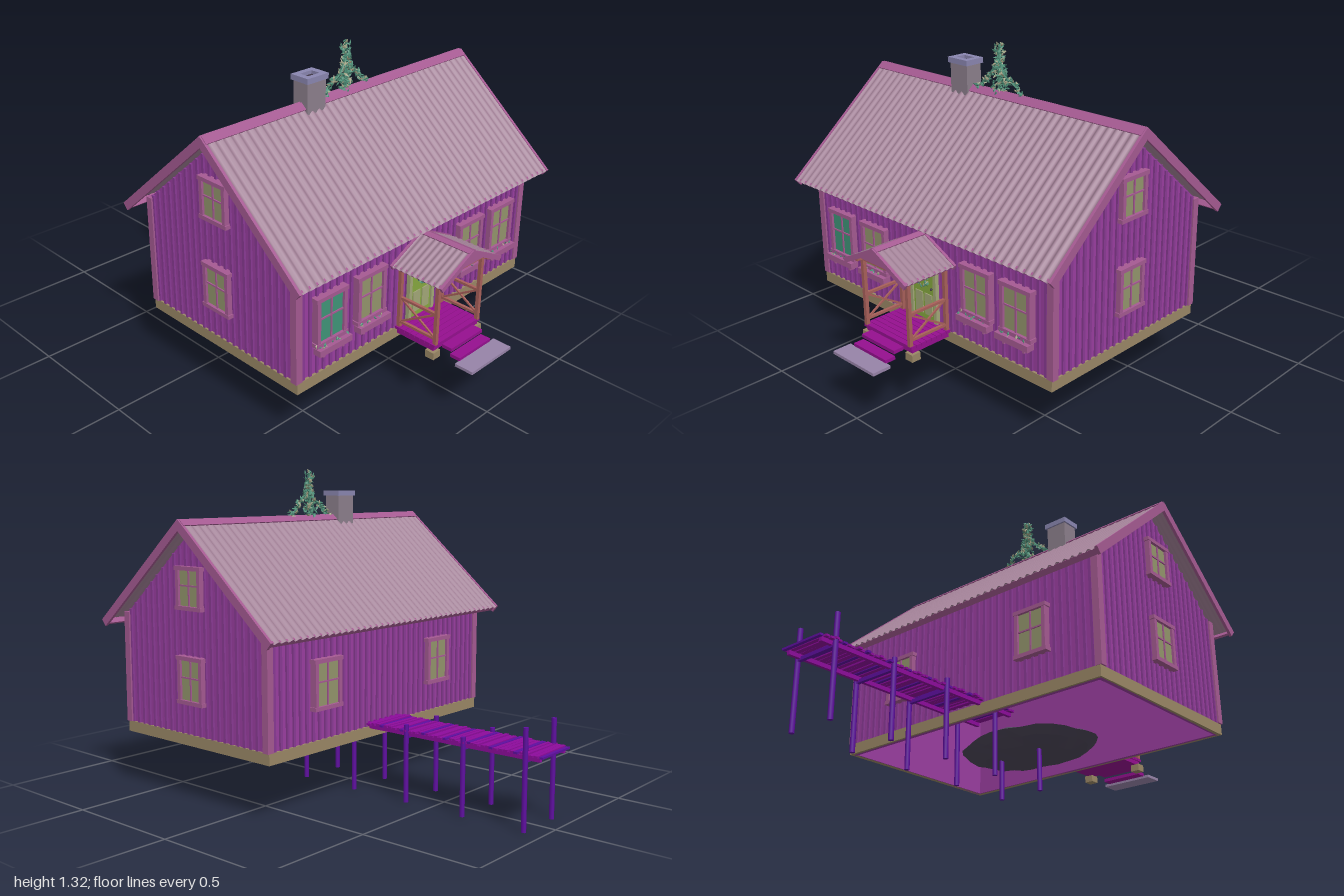
import * as THREE from 'three';

const mat = (color, extra = {}) => new THREE.MeshStandardMaterial({ color, ...extra });
const M = {
  wall: mat(0x9a3ea0), batten: mat(0x8a3a94), trim: mat(0xa55a92), roof: mat(0xa07f95, { side: THREE.DoubleSide }),
  base: mat(0x9a8766), dock: mat(0x8d0b9c), post: mat(0x5f0ea0), porchWood: mat(0xa8605a), deck: mat(0x95108f),
  glass: mat(0x93956c), greenGlass: mat(0x3f9478), door: mat(0x86a83f), panel: mat(0xa3a878), stone: mat(0x9783a8),
  chimney: mat(0x8c7f8c), cap: mat(0x8a86b0), dark: mat(0x403848), rock: mat(0x4c4658, { flatShading: true }),
  leaf: mat(0x4f8f78, { flatShading: true }), paleLeaf: mat(0xa0a184, { flatShading: true }),
};
const ZC = 0.225, RIDGE = 1.115, PITCH = 0.857;

let seed = 7;
const rnd = () => (seed = (seed * 16807) % 2147483647) / 2147483647;

function group(parent, name, x = 0, y = 0, z = 0, ry = 0) {
  const g = new THREE.Group();
  g.name = name;
  g.position.set(x, y, z);
  g.rotation.y = ry;
  parent.add(g);
  return g;
}
function add(parent, name, geo, material, x = 0, y = 0, z = 0) {
  const m = new THREE.Mesh(geo, material);
  m.name = name;
  m.position.set(x, y, z);
  parent.add(m);
  return m;
}
const box = (p, name, material, w, h, d, x, y, z) => add(p, name, new THREE.BoxGeometry(w, h, d), material, x, y, z);

// Straight bar between two points
function bar(p, name, material, a, b, t) {
  const A = new THREE.Vector3(...a), B = new THREE.Vector3(...b);
  const m = box(p, name, material, t, t, A.distanceTo(B), 0, 0, 0);
  m.position.copy(A).lerp(B, 0.5);
  m.lookAt(B);
}

// Corrugated roof: two mirrored slopes hanging from a ridge along local x
function gableRoof(parent, name, { width, length, angle, waves, amp, edge }) {
  for (const turn of [0, Math.PI]) {
    const side = group(parent, name, 0, 0, 0, turn);
    const s = group(side, 'roofSlope');
    s.rotation.x = angle;
    const geo = new THREE.PlaneGeometry(width, length, waves * 6, 1).rotateX(-Math.PI / 2).translate(0, 0, length / 2);
    const pos = geo.attributes.position;
    for (let i = 0; i < pos.count; i++) pos.setY(i, amp * Math.cos((pos.getX(i) / width + 0.5) * waves * 2 * Math.PI));
    geo.computeVertexNormals();
    add(s, 'corrugatedSheet', geo, M.roof);
    box(s, 'ridgeCap', M.trim, width, 0.005, edge, 0, amp, edge / 2);
    box(s, 'fascia', M.trim, width, edge * 0.7, 0.01, 0, -edge * 0.45, length - 0.012);
    for (const x of [-1, 1]) box(s, 'bargeboard', M.trim, 0.012, edge, length, x * (width / 2), -edge / 2 + amp, length / 2);
  }
}

// Framed window facing local +z
function windowUnit(parent, w, h, x, y, z, ry, glass = M.glass) {
  const g = group(parent, 'window', x, y, z, ry), t = 0.016;
  box(g, 'glass', glass, w - t, h - t, 0.03, 0, 0, -0.008);
  for (const s of [-1, 1]) {
    box(g, 'frameSide', M.trim, t, h, 0.03, s * (w - t) / 2, 0, 0.002);
    box(g, 'frameRail', M.trim, w + 0.01, t, 0.034, 0, s * (h - t) / 2, 0.002);
  }
  box(g, 'mullion', M.trim, 0.006, h - t, 0.008, 0, 0, 0.008);
  box(g, 'crossbar', M.trim, w - t, 0.006, 0.008, 0, 0.01, 0.008);
  return g;
}

// Small leaves scattered along a curve
function foliage(parent, name, curve, count, spread, size) {
  const g = group(parent, name);
  const geo = new THREE.OctahedronGeometry(size).scale(1, 0.3, 0.55);
  for (let i = 0; i < count; i++) {
    const p = curve.getPoint((i + 0.5) / count), r = typeof spread === 'function' ? spread(i / count) : spread;
    const m = add(g, 'leaf', geo, i % 3 ? M.leaf : M.paleLeaf,
      p.x + (rnd() - 0.5) * 2 * r, p.y + (rnd() - 0.5) * 2 * r, p.z + (rnd() - 0.5) * 2 * r);
    m.rotation.set(rnd() * 6, rnd() * 6, rnd() * 6);
  }
}
const curve = (...pts) => new THREE.CatmullRomCurve3(pts.map((p) => new THREE.Vector3(...p)));

function buildWalls(root) {
  const g = group(root, 'house');
  const eave = RIDGE - 0.035 - PITCH * 0.405, top = RIDGE - 0.035;
  for (const s of [-1, 1]) {
    const z = ZC + s * 0.405;
    // Long walls with battens, open underneath
    box(g, 'longWall', M.wall, 1.31, eave - 0.23, 0.016, 0, (eave + 0.23) / 2, z - s * 0.008);
    for (let i = -18; i <= 18; i++) box(g, 'batten', M.batten, 0.012, eave - 0.275, 0.008, i * 0.035, (eave + 0.275) / 2, z + s * 0.004);
    box(g, 'foundation', M.base, 1.324, 0.045, 0.02, 0, 0.2525, z);
    // Gable walls with battens cut to the roof line
    const shape = new THREE.Shape([[-0.405, 0.23], [0.405, 0.23], [0.405, eave], [0, top], [-0.405, eave]].map((p) => new THREE.Vector2(...p)));
    const end = group(g, 'gableEnd', s * 0.655, 0, ZC, s * Math.PI / 2);
    add(end, 'gableWall', new THREE.ExtrudeGeometry(shape, { depth: 0.016, bevelEnabled: false }), M.wall, 0, 0, -0.016);
    for (let i = -11; i <= 11; i++) {
      const h = top - PITCH * (Math.abs(i) * 0.035 + 0.006) - 0.275;
      box(end, 'batten', M.batten, 0.012, h, 0.008, i * 0.035, 0.275 + h / 2, 0.004);
    }
    box(end, 'foundation', M.base, 0.83, 0.045, 0.02, 0, 0.2525, -0.002);
    windowUnit(end, 0.14, 0.19, 0, 0.495, 0.012, 0);
    windowUnit(end, 0.14, 0.17, 0, 0.855, 0.012, 0);
    for (const c of [-1, 1]) box(g, 'cornerBoard', M.trim, 0.03, eave - 0.275, 0.03, s * 0.655, (eave + 0.275) / 2, ZC + c * 0.402);
    windowUnit(g, 0.15, 0.2, s * 0.355, 0.495, ZC - 0.417, Math.PI);
  }
  // Front windows with flower boxes
  for (const x of [-0.505, -0.295, 0.295, 0.5]) {
    const w = windowUnit(g, 0.15, 0.2, x, 0.495, 0.642, 0, x < -0.5 ? M.greenGlass : M.glass);
    box(w, 'flowerBox', M.trim, 0.165, 0.025, 0.035, 0, -0.112, 0.02);
    for (const c of [-0.05, 0.05]) box(w, 'boxBracket', M.trim, 0.01, 0.02, 0.025, c, -0.132, 0.012);
    foliage(w, 'flowers', curve([-0.07, -0.097, 0.02], [0.07, -0.097, 0.02]), 18, 0.011, 0.009);
  }
  const roof = group(root, 'mainRoof', 0, RIDGE, ZC);
  gableRoof(roof, 'mainRoofSide', { width: 1.44, length: 0.645, angle: Math.atan(PITCH), waves: 40, amp: 0.005, edge: 0.034 });
}

function buildPorch(root) {
  const g = group(root, 'porch');
  // Door with panels and wreath
  box(g, 'door', M.door, 0.125, 0.275, 0.02, 0, 0.422, 0.638);
  for (const s of [-1, 1]) {
    box(g, 'doorJamb', M.panel, 0.016, 0.285, 0.03, s * 0.068, 0.427, 0.64);
    box(g, 'doorPanel', M.panel, 0.042, 0.09, 0.006, s * 0.027, 0.355, 0.649);
  }
  box(g, 'doorLintel', M.panel, 0.152, 0.014, 0.03, 0, 0.565, 0.64);
  box(g, 'doorGlass', M.greenGlass, 0.1, 0.04, 0.006, 0, 0.53, 0.649);
  add(g, 'doorHandle', new THREE.SphereGeometry(0.005, 10, 8), M.dark, 0.05, 0.43, 0.655);
  const ring = curve(...Array.from({ length: 9 }, (_, i) => [0.028 * Math.cos(i * Math.PI / 4), 0.46 + 0.028 * Math.sin(i * Math.PI / 4), 0.658]));
  foliage(g, 'wreath', ring, 36, 0.005, 0.01);
  // Floor boards, steps and slab
  for (let i = 0; i < 8; i++) box(g, 'floorBoard', M.deck, 0.28, 0.012, 0.022, 0, 0.281, 0.653 + i * 0.0245);
  box(g, 'floorFrame', M.deck, 0.27, 0.018, 0.18, 0, 0.266, 0.738);
  box(g, 'upperStep', M.deck, 0.19, 0.014, 0.045, 0, 0.268, 0.86);
  box(g, 'lowerStep', M.deck, 0.19, 0.014, 0.045, 0, 0.245, 0.9);
  box(g, 'stoneSlab', M.stone, 0.24, 0.012, 0.08, 0, 0.234, 0.96);
  for (const s of [-1, 1]) {
    const x = s * 0.128;
    box(g, 'footing', M.base, 0.04, 0.03, 0.04, x, 0.243, 0.82);
    box(g, 'frontPost', M.porchWood, 0.015, 0.29, 0.015, x, 0.43, 0.83);
    box(g, 'wallPost', M.porchWood, 0.015, 0.29, 0.015, x, 0.43, 0.652);
    box(g, 'eaveBeam', M.porchWood, 0.015, 0.018, 0.225, x, 0.572, 0.75);
    for (const y of [0.31, 0.415]) box(g, 'rail', M.porchWood, 0.012, 0.01, 0.17, x, y, 0.74);
    bar(g, 'crossBrace', M.porchWood, [x, 0.312, 0.66], [x, 0.412, 0.825], 0.007);
    bar(g, 'crossBrace', M.porchWood, [x, 0.412, 0.66], [x, 0.312, 0.825], 0.007);
  }
  box(g, 'frontBeam', M.porchWood, 0.27, 0.016, 0.015, 0, 0.567, 0.83);
  const tri = new THREE.Shape([[-0.135, 0.57], [0.135, 0.57], [0, 0.64]].map((p) => new THREE.Vector2(...p)));
  add(g, 'porchGable', new THREE.ExtrudeGeometry(tri, { depth: 0.01, bevelEnabled: false }), M.trim, 0, 0, 0.836);
  const roof = group(g, 'porchRoof', 0, 0.653, 0.76, Math.PI / 2);
  gableRoof(roof, 'porchRoofSide', { width: 0.235, length: 0.2, angle: 0.464, waves: 9, amp: 0.003, edge: 0.02 });
}

function buildRoofTop(root) {
  // Hollow chimney
  const g = group(root, 'chimney', -0.193, 0, ZC);
  box(g, 'stack', M.chimney, 0.095, 0.17, 0.075, 0, 1.12, 0);
  for (const s of [-1, 1]) {
    box(g, 'capRim', M.cap, 0.11, 0.022, 0.024, 0, 1.211, s * 0.033);
    box(g, 'capRim', M.cap, 0.026, 0.022, 0.045, s * 0.042, 1.211, 0);
  }
  box(g, 'flue', M.dark, 0.06, 0.004, 0.045, 0, 1.206, 0);
  // Leafy finial with trailing branches on the ridge
  const f = group(root, 'ridgeFoliage', 0, 0, ZC);
  foliage(f, 'centralPlant', curve([0, 1.125, 0], [0, 1.3, 0]), 130, (t) => 0.026 - 0.013 * t, 0.014);
  add(f, 'stem', new THREE.CylinderGeometry(0.005, 0.008, 0.18, 6), M.leaf, 0, 1.2, 0);
  for (const s of [-1, 1]) {
    const c = curve([0, 1.24, 0], [s * 0.04, 1.185, 0.01], [s * 0.085, 1.145, -0.005], [s * 0.125, 1.115, 0.005]);
    add(f, 'branch', new THREE.TubeGeometry(c, 16, 0.004, 5), M.leaf);
    foliage(f, 'branchLeaves', c, 50, 0.011, 0.013);
  }
}

function buildRock(root) {
  // Shallow boulder under the floor, roughened by a ripple
  const prof = [[0, 0.155], [0.1, 0.16], [0.2, 0.18], [0.27, 0.205], [0.315, 0.23], [0.28, 0.242], [0.15, 0.25], [0, 0.252]];
  const geo = new THREE.LatheGeometry(prof.map((p) => new THREE.Vector2(...p)), 28);
  const pos = geo.attributes.position;
  for (let i = 0; i < pos.count; i++) {
    const x = pos.getX(i), z = pos.getZ(i), a = Math.atan2(z, x), k = 1 + 0.04 * Math.sin(a * 3 + 1) + 0.025 * Math.sin(a * 7);
    pos.setXYZ(i, x * k, pos.getY(i) + 0.005 * Math.sin(x * 40) * Math.cos(z * 37), z * k * 0.73);
  }
  geo.computeVertexNormals();
  add(root, 'boulder', geo, M.rock, 0.02, 0, 0.23);
}

function buildDock(root) {
  const g = group(root, 'dock');
  const heights = [0.27, 0.28, 0.315, 0.31, 0.39];
  for (const s of [-1, 1]) {
    heights.forEach((h, i) => add(g, 'dockPost', new THREE.CylinderGeometry(0.01, 0.01, h, 8), M.post, s * 0.1, h / 2, 0.155 - i * 0.27));
    box(g, 'stringer', M.dock, 0.014, 0.016, 0.97, s * 0.085, 0.276, -0.495);
  }
  heights.forEach((h, i) => i && box(g, 'crossBeam', M.post, 0.21, 0.014, 0.014, 0, 0.268, 0.155 - i * 0.27));
  // Uneven planks
  for (let i = 0; i < 48; i++) {
    const p = box(g, 'plank', i % 5 === 2 ? M.post : M.dock, 0.195 + rnd() * 0.022, 0.008, 0.013 + rnd() * 0.006,
      (rnd() - 0.5) * 0.012, 0.287 + rnd() * 0.005, -0.01 - i * 0.0208);
    p.rotation.y = (rnd() - 0.5) * 0.05;
  }
}

export function createModel() {
  seed = 7;
  const root = new THREE.Group();
  root.name = 'cottage';
  [buildWalls, buildPorch, buildRoofTop, buildRock, buildDock].forEach((build) => build(root));
  return root;
}
